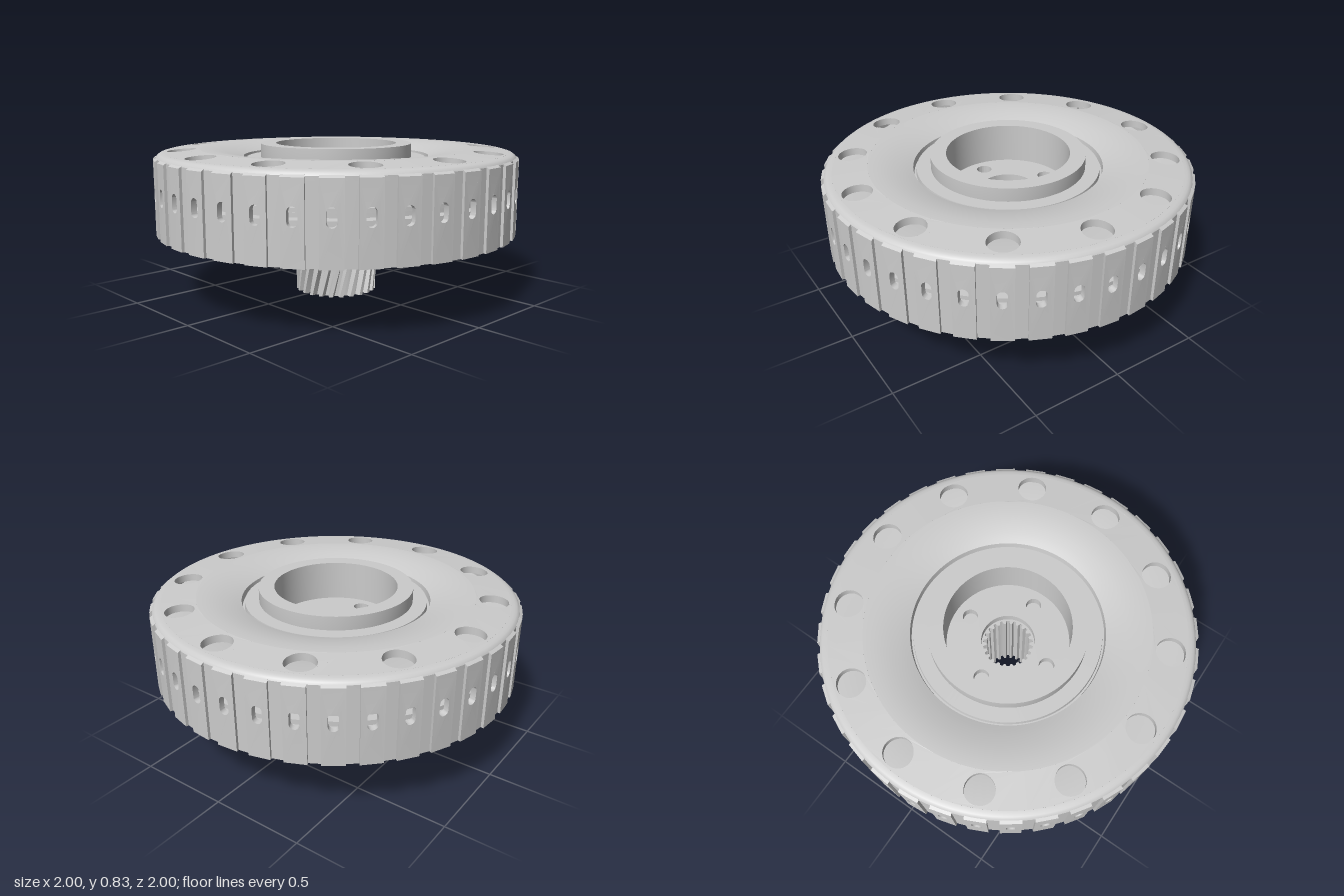
import * as THREE from 'three';
import { mergeGeometries, toCreasedNormals } from 'three/addons/utils/BufferGeometryUtils.js';

const TAU = Math.PI * 2;
const material = new THREE.MeshStandardMaterial({ color: 0xcccccc });

// Closed ring turned from a profile of [radius, height], counter-clockwise
function turned(profile) {
  const pts = [...profile, profile[0]].map(([r, y]) => new THREE.Vector2(r, y));
  return toCreasedNormals(new THREE.LatheGeometry(pts, 120), 0.45);
}

function circle(r, x = 0, y = 0, Type = THREE.Path) {
  return new Type().absarc(x, y, r, 0, TAU, false);
}

// Toothed outline between a root radius and a tip radius
function toothed(n, root, tip, Type = THREE.Path) {
  const pts = [];
  for (let i = 0; i < n; i++) {
    for (const [f, r] of [[0, root], [0.28, root], [0.44, tip], [0.78, tip], [0.94, root]]) {
      const a = ((i + f) / n) * TAU;
      pts.push(new THREE.Vector2(r * Math.cos(a), r * Math.sin(a)));
    }
  }
  return new Type(pts);
}

// Flat shape extruded upward from y0 to y1
function slab(shape, holes, y0, y1, steps = 1) {
  shape.holes.push(...holes);
  return new THREE.ExtrudeGeometry(shape, { depth: y1 - y0, bevelEnabled: false, curveSegments: 48, steps })
    .rotateX(-Math.PI / 2).translate(0, y0, 0);
}

// Move every vertex by a rule
function reshape(geo, rule) {
  const p = geo.attributes.position, v = new THREE.Vector3();
  for (let i = 0; i < p.count; i++) {
    rule(v.fromBufferAttribute(p, i));
    p.setXYZ(i, v.x, v.y, v.z);
  }
  return geo;
}

// Curved wall panel; x of the shape is an angle
function wallPanel(halfAngle, yTop, rIn, rOut, chamfer, holes) {
  const shape = new THREE.Shape([[-halfAngle, 0.36], [halfAngle, 0.36], [halfAngle, yTop], [-halfAngle, yTop]]
    .map(([x, y]) => new THREE.Vector2(x, y)));
  shape.holes.push(...holes);
  const geo = new THREE.ExtrudeGeometry(shape, { depth: rOut - rIn, bevelEnabled: false, curveSegments: 8 });
  reshape(geo, v => {
    const r = rIn + v.z, a = v.x;
    if (v.y > yTop - 0.001 && v.z > 0.01) v.y -= chamfer;
    v.set(r * Math.sin(a), v.y, r * Math.cos(a));
  });
  return toCreasedNormals(geo, 0.4);
}

// One sector of the sloping top plate with a round hole; the shape is in (angle, radius)
function plateSector(rIn, rOut, rHole, holeRadius) {
  const half = TAU / 24, arc = Array.from({ length: 11 }, (_, i) => half * (i / 5 - 1));
  const shape = new THREE.Shape([...arc.map(a => new THREE.Vector2(a, rIn)),
    ...arc.reverse().map(a => new THREE.Vector2(a, rOut))]);
  shape.holes.push(new THREE.Path().absellipse(0, rHole, holeRadius / rHole, holeRadius, 0, TAU, false));
  const geo = new THREE.ExtrudeGeometry(shape, { depth: 0.04, bevelEnabled: false, curveSegments: 20 });
  reshape(geo, v => {
    const [a, r] = [v.x, v.y];
    v.set(-r * Math.sin(a), 0.772 + v.z - (r - rIn) * 0.08, r * Math.cos(a));
  });
  return toCreasedNormals(geo, 0.5);
}

function aroundAxis(geo, n, offset) {
  return mergeGeometries(Array.from({ length: n }, (_, i) => geo.clone().rotateY(offset + (i / n) * TAU)));
}

export function createModel() {
  const model = new THREE.Group();
  const add = (name, geo) => {
    const mesh = new THREE.Mesh(geo, material);
    mesh.name = name;
    model.add(mesh);
  };

  // Thin corrugated drum wall: slotted splines with shallow grooves between
  const step = TAU / 36, phase = step / 2 + 0.005;
  const slot = new THREE.Path();
  slot.absarc(0, 0.614, 0.025, 0, Math.PI, false);
  slot.absarc(0, 0.57, 0.025, Math.PI, TAU, false);
  add('wallGrooves', aroundAxis(wallPanel(step * 0.2, 0.77, 0.95, 0.985, 0, []), 36, phase + step / 2));
  add('wallSplines', aroundAxis(wallPanel(step * 0.32, 0.786, 0.967, 1.0, 0.02, [slot]), 36, phase));
  add('drumShoulder', turned([[0.93, 0.75], [0.985, 0.75], [0.985, 0.772], [0.979, 0.783], [0.968, 0.791],
    [0.955, 0.795], [0.94, 0.797], [0.93, 0.78]]));

  // Top plate with twelve holes, falling slightly to the rim
  add('topPlate', aroundAxis(plateSector(0.755, 0.94, 0.85, 0.078), 12, Math.PI / 2 - 0.083));

  // Dished centre of the top, stepping down to a ring around the hub
  add('topDish', turned([[0.42, 0.68], [0.58, 0.7], [0.64, 0.755], [0.755, 0.772], [0.755, 0.812], [0.7, 0.811],
    [0.62, 0.798], [0.57, 0.785], [0.545, 0.778], [0.515, 0.768], [0.51, 0.735], [0.5, 0.735], [0.497, 0.76],
    [0.42, 0.76]]));

  // Central hub with a deep well
  add('hub', turned([[0.16, 0.39], [0.225, 0.39], [0.225, 0.54], [0.28, 0.54], [0.285, 0.55], [0.36, 0.55],
    [0.375, 0.52], [0.4, 0.52], [0.42, 0.57], [0.42, 0.835], [0.335, 0.835], [0.335, 0.56], [0.16, 0.56]]));
  const pins = [0, 1, 2, 3].map(i =>
    circle(0.042, 0.252 * Math.cos(i * TAU / 4), 0.252 * Math.sin(i * TAU / 4)));
  add('wellFloor', toCreasedNormals(slab(circle(0.338, 0, 0, THREE.Shape), [circle(0.147), ...pins], 0.555, 0.615), 0.5));

  // Splined bore running through the shaft, ending below the well floor
  add('splinedBore', toCreasedNormals(
    slab(circle(0.165, 0, 0, THREE.Shape), [toothed(22, 0.138, 0.12)], 0.001, 0.565), 0.3));

  // Helical gear on the lower shaft
  const gear = slab(toothed(24, 0.198, 0.228, THREE.Shape), [circle(0.155)], 0, 0.4, 10);
  const axis = new THREE.Vector3(0, 1, 0);
  reshape(gear, v => v.applyAxisAngle(axis, v.y * 1.1));
  add('helicalGear', toCreasedNormals(gear, 0.35));

  // Dished piston closing the inside of the drum
  add('piston', turned([[0.41, 0.57], [0.44, 0.535], [0.48, 0.515], [0.58, 0.505], [0.64, 0.5], [0.66, 0.48],
    [0.73, 0.48], [0.74, 0.665], [0.955, 0.665], [0.955, 0.72], [0.72, 0.72], [0.6, 0.68], [0.41, 0.66]]));

  // Stack of plain and toothed friction plates
  for (let i = 0; i < 8; i++) {
    const y = 0.436 + i * 0.028;
    const inner = i % 2 ? toothed(48, 0.795, 0.765) : circle(0.82);
    add(i % 2 ? 'frictionPlate' : 'steelPlate',
      toCreasedNormals(slab(circle(i % 2 ? 0.92 : 0.955, 0, 0, THREE.Shape), [inner], y, y + 0.021), 0.4));
  }
  add('backingPlate', turned([[0.81, 0.41], [0.82, 0.4], [0.955, 0.4], [0.955, 0.436], [0.81, 0.436]]));
  add('retainingRing', turned([[0.885, 0.385], [0.962, 0.385], [0.962, 0.402], [0.885, 0.402]]));

  return model;
}
